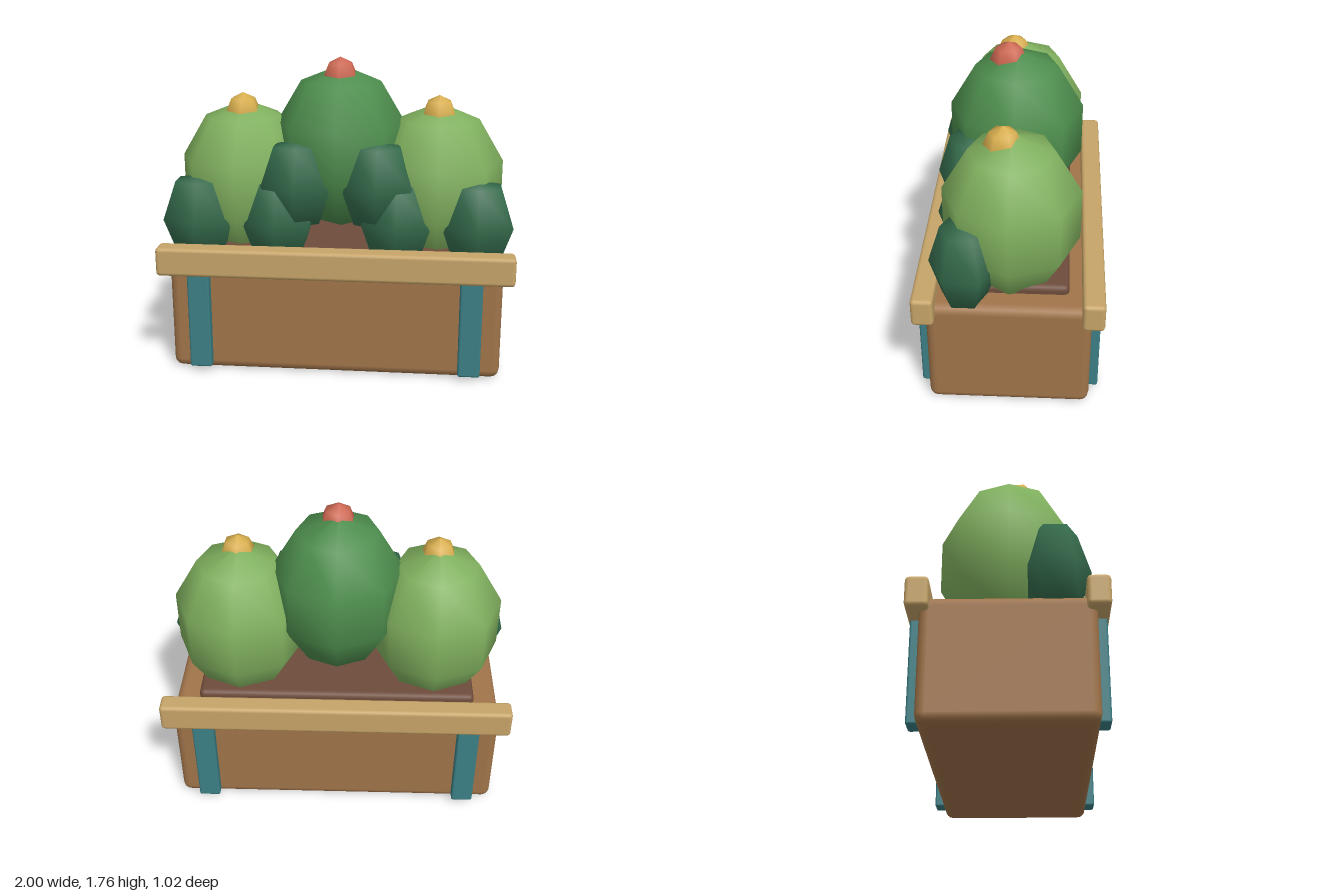
import * as THREE from 'three';
import { RoundedBoxGeometry } from 'three/addons/geometries/RoundedBoxGeometry.js';

const material = (name, color) => {
  const m = new THREE.MeshStandardMaterial({ color });
  m.name = name;
  return m;
};

export function createModel() {
  const model = new THREE.Group();
  model.name = 'cactusPlanter';

  const wood = material('wood', 0xa0744a);
  const trim = material('paleWood', 0xc6a468);
  const teal = material('teal', 0x3b7f85);
  const soil = material('soil', 0x6e4c3b);
  const lightGreen = material('lightGreen', 0x80b05e);
  const midGreen = material('midGreen', 0x4d8d4d);
  const darkGreen = material('darkGreen', 0x346a4b);
  const coral = material('coral', 0xcd6853);
  const yellow = material('yellow', 0xd8ae4e);

  const box = (name, mat, size, pos, radius, segments = 2) => {
    const mesh = new THREE.Mesh(new RoundedBoxGeometry(...size, segments, radius), mat);
    mesh.name = name;
    mesh.position.set(...pos);
    model.add(mesh);
  };

  // Trough and soil
  box('trough', wood, [1.88, 0.66, 0.89], [0, 0.33, 0], 0.05);
  box('soilBed', soil, [1.6, 0.14, 0.64], [0, 0.64, 0], 0.03);

  // Rails along the rim and straps below them, front and back
  for (const s of [1, -1]) {
    box('rail', trim, [2, 0.165, 0.12], [0, 0.6625, s * 0.45], 0.022);
    for (const x of [-0.765, 0.765]) {
      box('strap', teal, [0.125, 0.6, 0.08], [x, 0.33, s * 0.457], 0.012);
    }
  }

  // Low-sided smooth bodies turned from short profiles
  const turned = (profile, sides) =>
    new THREE.LatheGeometry(profile.map(([r, y]) => new THREE.Vector2(r, y)), sides);

  const bodyProfile = [];
  for (let i = 0; i <= 5; i++) {
    const a = (i * Math.PI) / 5;
    bodyProfile.push([i % 5 ? Math.sin(a) * 0.393 : 0, -Math.cos(a) * 0.48]);
  }
  const bodyGeometry = turned(bodyProfile, 8);
  const budGeometry = turned(
    [[0, -0.245], [0.122, -0.22], [0.19, 0], [0.122, 0.22], [0, 0.245]], 6);
  budGeometry.scale(1.2, 1, 1);
  const flowerGeometry = turned(
    [[0, -0.1], [0.09, -0.08], [0.11, -0.02], [0.073, 0.065], [0, 0.1]], 6);

  // One cactus: main body, two side buds and a flower
  const cactus = (x, y, green, petal) => {
    const group = new THREE.Group();
    group.name = 'cactus';
    group.position.set(x, y, 0);
    const add = (name, geometry, mat, px, py, pz) => {
      const mesh = new THREE.Mesh(geometry, mat);
      mesh.name = name;
      mesh.position.set(px, py, pz);
      group.add(mesh);
    };
    add('body', bodyGeometry, green, 0, 0, 0);
    add('flower', flowerGeometry, petal, 0, 0.43, 0.045);
    for (const s of [1, -1]) add('sideBud', budGeometry, darkGreen, s * 0.226, -0.165, 0.24);
    model.add(group);
  };
  cactus(-0.565, 1.025, lightGreen, yellow);
  cactus(0, 1.235, midGreen, coral);
  cactus(0.565, 1.025, lightGreen, yellow);

  return model;
}
